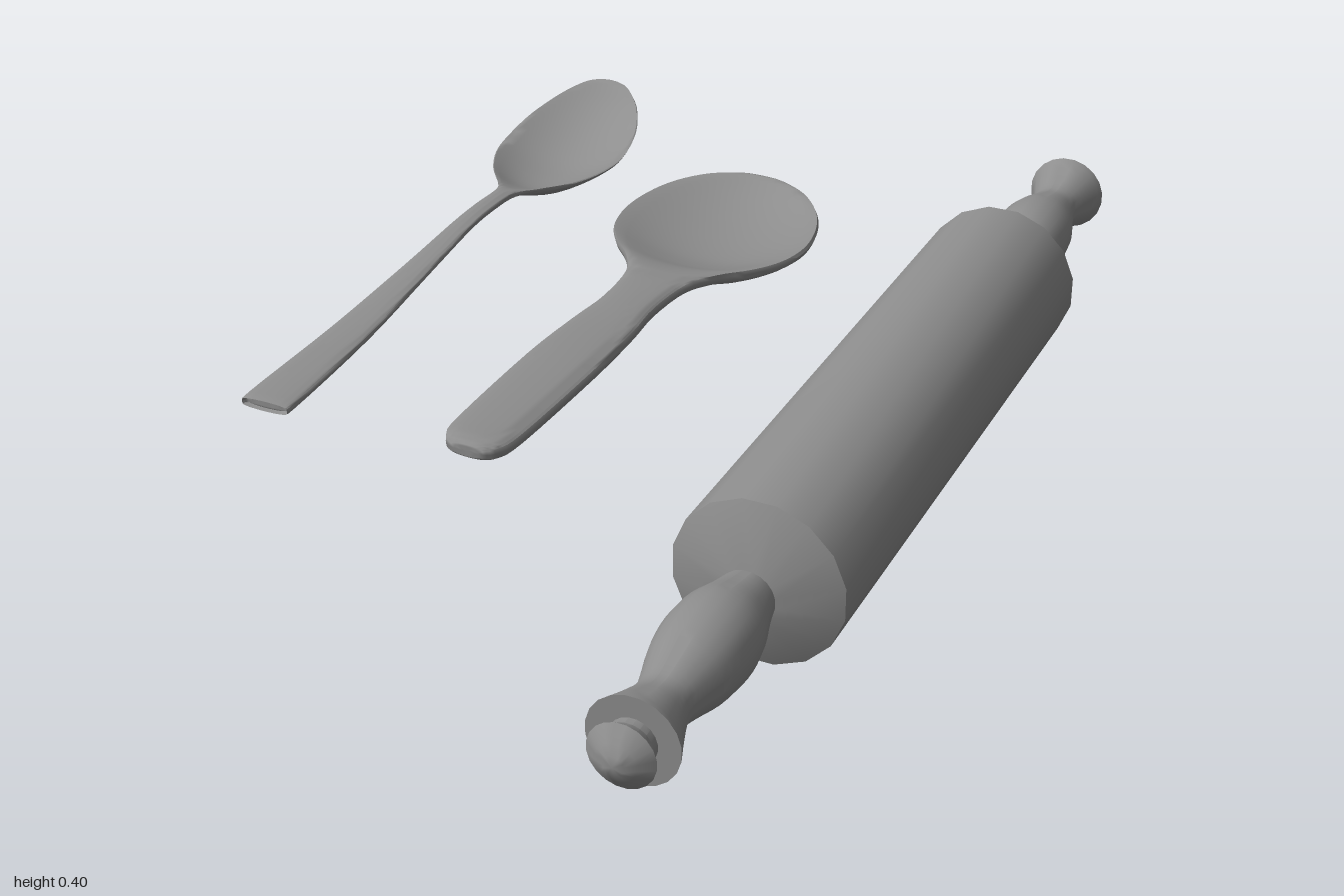
import * as THREE from 'three';
import { toCreasedNormals } from 'three/addons/utils/BufferGeometryUtils.js';

const material = new THREE.MeshStandardMaterial({ color: 0x8e8e8e, side: THREE.DoubleSide });

// Lofts a utensil along z. Stations: [z, half width, rim height, bowl depth, thickness].
function loft(stations, x, tilt = 0) {
  const SIDES = 32, STEPS = 4;
  const spline = new THREE.CubicInterpolant(stations.map((_, i) => i), stations.flat(), 5);
  const rings = (stations.length - 1) * STEPS + 1;
  const positions = [], index = [];
  for (let r = 0; r < rings; r++) {
    const [z, w, y, depth, t] = Array.from(spline.evaluate(r / STEPS));
    for (let k = 0; k < SIDES; k++) {
      const a = (k / SIDES) * Math.PI * 2;
      const u = Math.cos(a), s = Math.sin(a);
      const half = Math.sign(s) * Math.pow(Math.abs(s), 0.45) * t / 2;
      positions.push(x + u * w, y - depth * (1 - u * u) + half - tilt * u * w, z);
      if (r < rings - 1) {
        const p = r * SIDES + k, q = r * SIDES + (k + 1) % SIDES;
        index.push(p, p + SIDES, q, q, p + SIDES, q + SIDES);
      }
    }
  }
  const geometry = new THREE.BufferGeometry();
  geometry.setAttribute('position', new THREE.Float32BufferAttribute(positions, 3));
  geometry.setIndex(index);
  return toCreasedNormals(geometry, 0.9);
}

function addMesh(parent, name, geometry) {
  const mesh = new THREE.Mesh(geometry, material);
  mesh.name = name;
  parent.add(mesh);
}

// Turned part: profile of [radius, distance along the axis], flats facing the axes
function turned(profile, sides = 16) {
  const points = profile.map(([r, d]) => new THREE.Vector2(r, d));
  return toCreasedNormals(new THREE.LatheGeometry(points, sides, Math.PI / sides), 0.6);
}

function createRollingPin() {
  const pin = new THREE.Group();
  pin.name = 'rollingPin';
  // Roller with ends tapering to the handles
  addMesh(pin, 'roller', turned([
    [0, -0.575], [0.045, -0.575], [0.1365, -0.535], [0.1365, 0.535], [0.045, 0.575], [0, 0.575],
  ]));
  // Matching handles with end knobs
  const grip = new THREE.SplineCurve([
    [0.043, 0.57], [0.052, 0.61], [0.066, 0.66], [0.07, 0.71], [0.064, 0.765],
    [0.049, 0.82], [0.043, 0.855], [0.054, 0.895], [0.07, 0.938],
  ].map(([r, d]) => new THREE.Vector2(r, d))).getPoints(24).map((p) => [p.x, p.y]);
  for (const [side, turn] of [['front', 0], ['back', Math.PI]]) {
    const handle = new THREE.Group();
    handle.name = side + 'Handle';
    handle.rotation.x = turn;
    addMesh(handle, 'grip', turned([...grip, [0, 0.938]], 20));
    addMesh(handle, 'knob', turned([
      [0.036, 0.93], [0.036, 0.95], [0.051, 0.972], [0.03, 0.988], [0.015, 0.996], [0, 1],
    ], 20));
    pin.add(handle);
  }
  pin.rotation.x = Math.PI / 2;
  pin.position.set(0.365, 0.134, 0);
  return pin;
}

export function createModel() {
  const model = new THREE.Group();
  model.name = 'kitchenUtensils';
  model.add(createRollingPin());

  // Broad spoon with a thick rounded handle
  addMesh(model, 'broadSpoon', loft([
    [0.63, 0, 0.298, 0, 0], [0.629, 0.026, 0.298, 0, 0.02], [0.612, 0.044, 0.298, 0, 0.03],
    [0.56, 0.054, 0.297, 0, 0.032], [0.34, 0.058, 0.294, 0, 0.032], [0.2, 0.053, 0.29, 0, 0.03],
    [0.11, 0.046, 0.288, 0, 0.03], [0.01, 0.055, 0.286, 0.002, 0.029],
    [-0.05, 0.085, 0.284, 0.011, 0.029], [-0.1, 0.127, 0.282, 0.028, 0.029],
    [-0.155, 0.158, 0.281, 0.041, 0.028], [-0.22, 0.171, 0.281, 0.045, 0.028],
    [-0.29, 0.162, 0.283, 0.042, 0.028], [-0.35, 0.136, 0.286, 0.033, 0.028],
    [-0.4, 0.092, 0.288, 0.018, 0.028], [-0.427, 0.042, 0.288, 0.005, 0.025],
    [-0.434, 0, 0.288, 0, 0.012],
  ], -0.048, 0.025));

  // Slim spoon with a thin flared handle
  addMesh(model, 'slimSpoon', loft([
    [0.63, 0, 0.294, 0, 0], [0.63, 0.033, 0.294, 0, 0.014], [0.618, 0.041, 0.295, 0, 0.017],
    [0.4, 0.034, 0.303, 0, 0.016], [0.2, 0.024, 0.321, 0, 0.014], [0.05, 0.018, 0.336, 0, 0.013],
    [-0.03, 0.017, 0.338, 0, 0.013], [-0.1, 0.019, 0.334, 0, 0.013],
    [-0.145, 0.04, 0.328, 0.01, 0.012], [-0.2, 0.08, 0.326, 0.028, 0.011],
    [-0.26, 0.107, 0.329, 0.036, 0.01], [-0.32, 0.115, 0.335, 0.037, 0.01],
    [-0.39, 0.106, 0.352, 0.032, 0.01], [-0.45, 0.079, 0.372, 0.019, 0.01],
    [-0.485, 0.046, 0.388, 0.007, 0.009], [-0.497, 0.022, 0.393, 0.001, 0.007],
    [-0.5, 0, 0.394, 0, 0.004],
  ], -0.385));

  return model;
}
